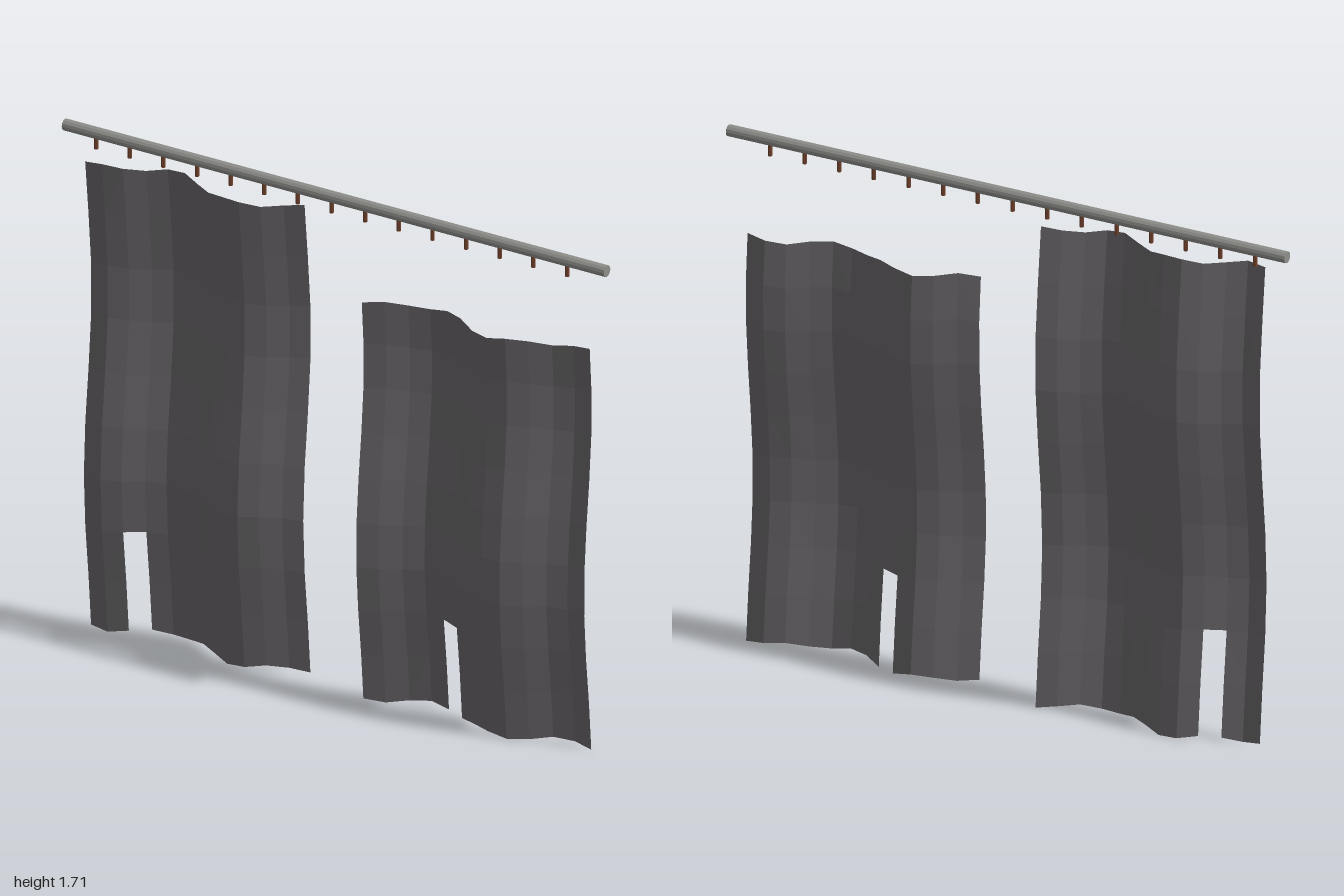
import * as THREE from 'three';

const cloth = new THREE.MeshStandardMaterial({ name: 'charcoalCloth', color: 0x676467, flatShading: true, side: THREE.DoubleSide });
const steel = new THREE.MeshStandardMaterial({ name: 'greySteel', color: 0x8e8e8a, flatShading: true });
const rust = new THREE.MeshStandardMaterial({ name: 'rustyBrown', color: 0x70412c, flatShading: true });

const COLS = 12, ROWS = 9, SLOT_ROWS = 2;

// Wavy torn sheet: folds run across the columns, a slow sway runs down the height
function curtain(name, { x0, x1, top, slotTop, slotCol, phase }) {
  const bottom = 0.008, pos = [], index = [];
  for (let j = 0; j <= ROWS; j++) {
    const y0 = j <= SLOT_ROWS
      ? bottom + (slotTop - bottom) * j / SLOT_ROWS
      : slotTop + (top - slotTop) * (j - SLOT_ROWS) / (ROWS - SLOT_ROWS);
    const spread = 2 * j / ROWS - 1;
    for (let i = 0; i <= COLS; i++) {
      const y = y0 + 0.008 * spread * Math.sin(1.7 * i);
      const z = 0.046 * Math.sin(0.8 * i + phase) + 0.022 * Math.sin(5.05 * y0 - 1.15);
      pos.push(x0 + (x1 - x0) * i / COLS, y, z);
    }
  }
  for (let j = 0; j < ROWS; j++) {
    for (let i = 0; i < COLS; i++) {
      if (i === slotCol && j < SLOT_ROWS) continue; // torn slot at the hem
      const a = j * (COLS + 1) + i, b = a + 1, d = a + COLS + 1, c = d + 1;
      index.push(a, b, c, a, c, d);
    }
  }
  const geo = new THREE.BufferGeometry();
  geo.setAttribute('position', new THREE.Float32BufferAttribute(pos, 3));
  geo.setIndex(index);
  geo.computeVertexNormals();
  const mesh = new THREE.Mesh(geo, cloth);
  mesh.name = name;
  return mesh;
}

export function createModel() {
  const model = new THREE.Group();
  model.name = 'tornCurtains';

  // Rod
  const rod = new THREE.Mesh(new THREE.CylinderGeometry(0.019, 0.019, 2, 12), steel);
  rod.name = 'curtainRod';
  rod.rotation.z = Math.PI / 2;
  rod.position.y = 1.69;
  model.add(rod);

  // Row of small pegs under the rod
  const pegs = new THREE.Group();
  pegs.name = 'hooks';
  const pegGeo = new THREE.CylinderGeometry(0.007, 0.007, 0.042, 6);
  for (let i = 0; i < 15; i++) {
    const peg = new THREE.Mesh(pegGeo, rust);
    peg.name = 'hook';
    peg.position.set(-0.885 + i * 0.1241, 1.656, 0);
    pegs.add(peg);
  }
  model.add(pegs);

  // Two hanging panels
  model.add(
    curtain('rightCurtain', { x0: -0.89, x1: -0.135, top: 1.612, slotTop: 0.36, slotCol: 2, phase: 1.1 }),
    curtain('leftCurtain', { x0: 0.115, x1: 0.905, top: 1.372, slotTop: 0.327, slotCol: 4, phase: 2.0 })
  );
  return model;
}
